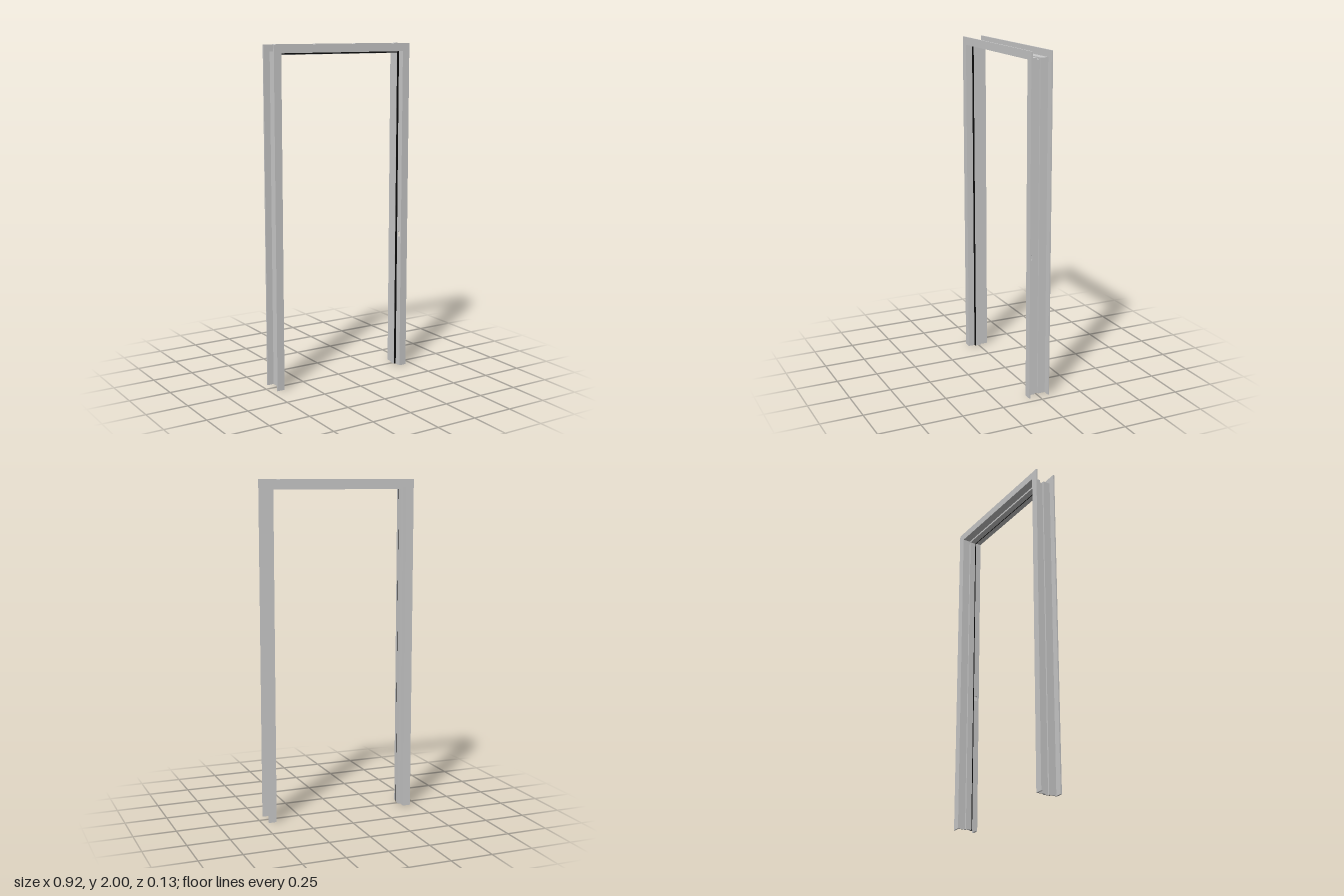
import * as THREE from 'three';

const RISE = 1.54; // the head sits this much higher than its offset from the centre
// Bent sheet cross-section: [distance outward, z]
const PROFILE = [
  [0.46, 0.065], [0.413, 0.065], [0.413, 0.018], [0.402, 0.018],
  [0.402, -0.018], [0.413, -0.018], [0.413, -0.065], [0.46, -0.065],
  [0.46, -0.057], [0.42, -0.057], [0.42, -0.011], [0.41, -0.011],
  [0.41, 0.011], [0.42, 0.011], [0.42, 0.057], [0.46, 0.057],
];
const SEAL = [[0.414, 0.025], [0.404, 0.025], [0.404, 0.018], [0.414, 0.018]];

function bufferFrom(positions) {
  const g = new THREE.BufferGeometry();
  g.setAttribute('position', new THREE.Float32BufferAttribute(positions, 3));
  g.computeVertexNormals();
  return g;
}

// Two triangles for corners in counter-clockwise order
const quad = (out, a, b, c, d) => out.push(...a, ...b, ...c, ...a, ...c, ...d);

// Sweep a section up one leg, across the head and down the other, with mitred corners
function sweep(profile, skipOnLeft = []) {
  const stations = [
    (u, z) => [u, 0, z],
    (u, z) => [u, RISE + u, z],
    (u, z) => [-u, RISE + u, z],
    (u, z) => [-u, 0, z],
  ];
  const out = [];
  for (let s = 0; s < 3; s++) {
    profile.forEach((p, i) => {
      if (s === 0 && skipOnLeft.includes(i)) return;
      const q = profile[(i + 1) % profile.length];
      quad(out, stations[s](...p), stations[s + 1](...p), stations[s + 1](...q), stations[s](...q));
    });
  }
  return bufferFrom(out);
}

// Flat cut end of a leg, facing down
function footCap(profile, side) {
  const shape = new THREE.Shape(profile.map(([u, z]) => new THREE.Vector2(side * u, z)));
  return new THREE.ShapeGeometry(shape).rotateX(Math.PI / 2);
}

// Strike opening outline with clipped corners: [z, y]
const HOLE = [
  [-0.011, -0.012], [-0.006, -0.017], [0.006, -0.017], [0.011, -0.012],
  [0.011, 0.012], [0.006, 0.017], [-0.006, 0.017], [-0.011, 0.012],
].map(([z, y]) => [z + 0.042, y + 0.84]);

// One face of the pierced jamb; dir is the way it faces along x
function piercedFace(x, z0, z1, dir) {
  const point = ([z, y]) => new THREE.Vector2(-dir * z, y);
  const top = RISE + x;
  const shape = new THREE.Shape([[z0, 0], [z1, 0], [z1, top], [z0, top]].map(point));
  shape.holes.push(new THREE.Path(HOLE.map(point)));
  return new THREE.ShapeGeometry(shape).rotateY(dir * Math.PI / 2).translate(x, 0, 0);
}

function holeRim(x0, x1) {
  const out = [];
  HOLE.forEach(([z, y], i) => {
    const [z2, y2] = HOLE[(i + 1) % HOLE.length];
    quad(out, [x0, y, z], [x1, y, z], [x1, y2, z2], [x0, y2, z2]);
  });
  return bufferFrom(out);
}

export function createModel() {
  const model = new THREE.Group();
  model.name = 'doorFrame';
  const metal = new THREE.MeshStandardMaterial({ color: 0xcccccc });
  const rimMetal = new THREE.MeshStandardMaterial({ color: 0xcccccc, side: THREE.DoubleSide });
  const rubber = new THREE.MeshStandardMaterial({ color: 0x0c0c0c });
  const add = (name, geometry, material) => {
    const mesh = new THREE.Mesh(geometry, material);
    mesh.name = name;
    model.add(mesh);
  };

  // Sheet frame; the two faces holding the strike opening are added separately
  add('frame', sweep(PROFILE, [1, 13]), metal);
  add('strikeJambInner', piercedFace(0.413, 0.018, 0.065, -1), metal);
  add('strikeJambOuter', piercedFace(0.42, 0.011, 0.057, 1), metal);
  add('strikeOpeningRim', holeRim(0.413, 0.42), rimMetal);

  // Dark seal against the front of the door stop
  add('doorSeal', sweep(SEAL), rubber);

  for (const side of [1, -1]) {
    const label = side > 0 ? 'left' : 'right';
    add(label + 'FrameFoot', footCap(PROFILE, side), metal);
    add(label + 'SealFoot', footCap(SEAL, side), rubber);
  }
  return model;
}
